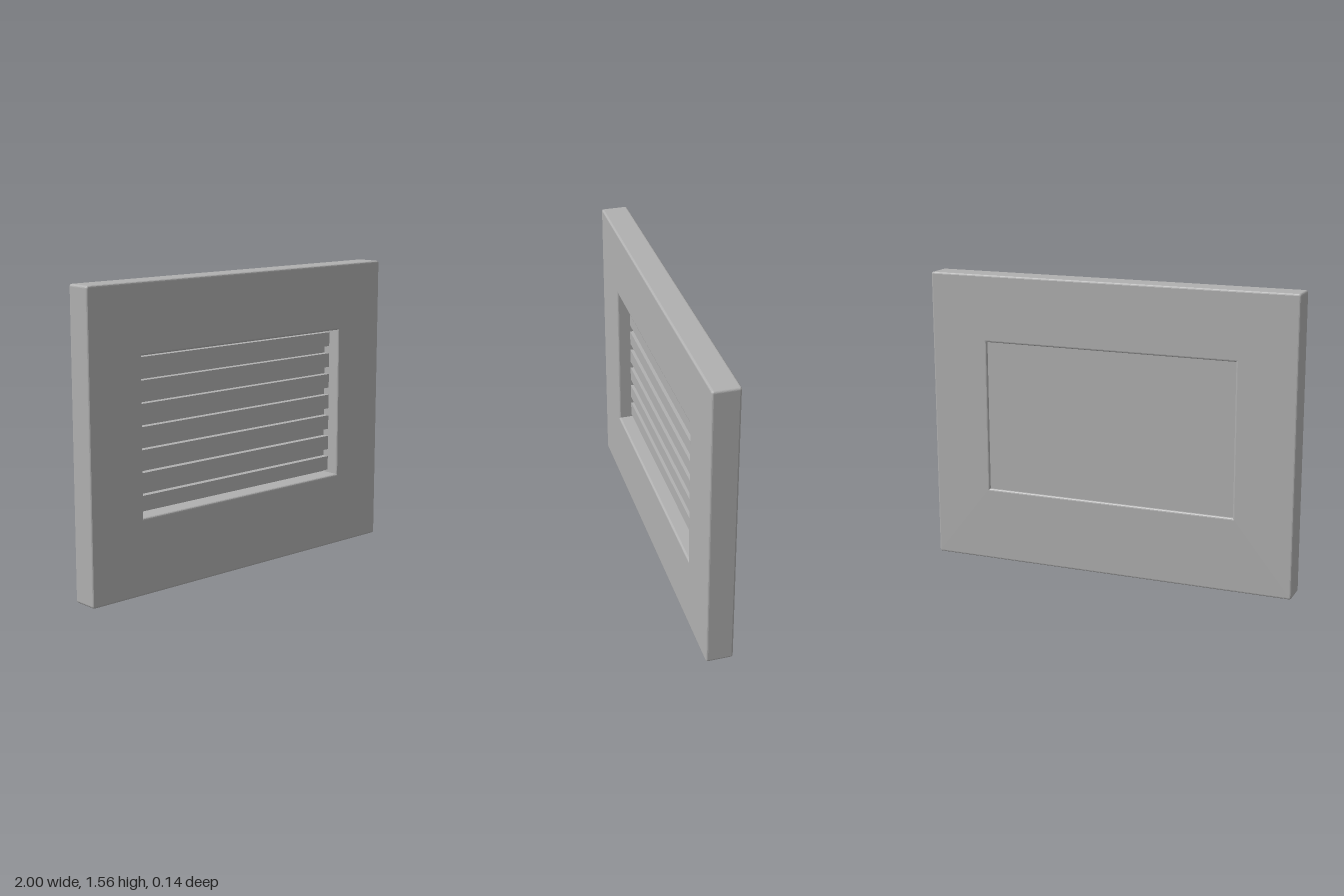
import * as THREE from 'three';

const WIDTH = 2, HEIGHT = 1.556, DEPTH = 0.14, BEVEL = 0.01;
const OPENING = { left: -0.683, right: 0.683, bottom: 0.395, top: 1.2 };

// Rectangle outline with slightly rounded corners
function roundedRect(path, x0, y0, x1, y1, r) {
  path.moveTo(x0 + r, y0);
  path.lineTo(x1 - r, y0);
  path.absarc(x1 - r, y0 + r, r, -Math.PI / 2, 0);
  path.lineTo(x1, y1 - r);
  path.absarc(x1 - r, y1 - r, r, 0, Math.PI / 2);
  path.lineTo(x0 + r, y1);
  path.absarc(x0 + r, y1 - r, r, Math.PI / 2, Math.PI);
  path.lineTo(x0, y0 + r);
  path.absarc(x0 + r, y0 + r, r, Math.PI, Math.PI * 1.5);
  return path;
}

function rect(path, x0, y0, x1, y1) {
  path.moveTo(x0, y0);
  path.lineTo(x1, y0);
  path.lineTo(x1, y1);
  path.lineTo(x0, y1);
  path.closePath();
  return path;
}

export function createModel() {
  const model = new THREE.Group();
  model.name = 'louvredPanel';
  const grey = new THREE.MeshStandardMaterial({ color: 0xb0b0b0 });
  grey.name = 'plain grey';

  function add(name, geometry, x = 0, y = 0, z = 0) {
    const mesh = new THREE.Mesh(geometry, grey);
    mesh.name = name;
    mesh.position.set(x, y, z);
    model.add(mesh);
  }

  // Frame: softened slab with a rectangular opening
  const outline = roundedRect(new THREE.Shape(), -WIDTH / 2, 0, WIDTH / 2, HEIGHT, 0.013);
  outline.holes.push(rect(new THREE.Path(), OPENING.left, OPENING.bottom, OPENING.right, OPENING.top));
  const frame = new THREE.ExtrudeGeometry(outline, {
    depth: DEPTH - 2 * BEVEL,
    bevelThickness: BEVEL,
    bevelSize: BEVEL,
    bevelOffset: -BEVEL,
    bevelSegments: 3,
    curveSegments: 3,
  });
  frame.translate(0, 0, -DEPTH / 2 + BEVEL);
  add('frame', frame);

  // Backing board, set just inside the rear of the frame
  const openW = OPENING.right - OPENING.left;
  const openH = OPENING.top - OPENING.bottom;
  const midY = (OPENING.top + OPENING.bottom) / 2;
  add('backPanel', new THREE.BoxGeometry(openW, openH, 0.023), 0, midY, -0.0465);

  // Seven horizontal slats standing out from the backing board
  const slat = new THREE.BoxGeometry(openW, 0.076, 0.036);
  for (let i = 0; i < 7; i++) add(`slat${i + 1}`, slat, 0, 0.448 + i * 0.1157, -0.018);

  return model;
}
